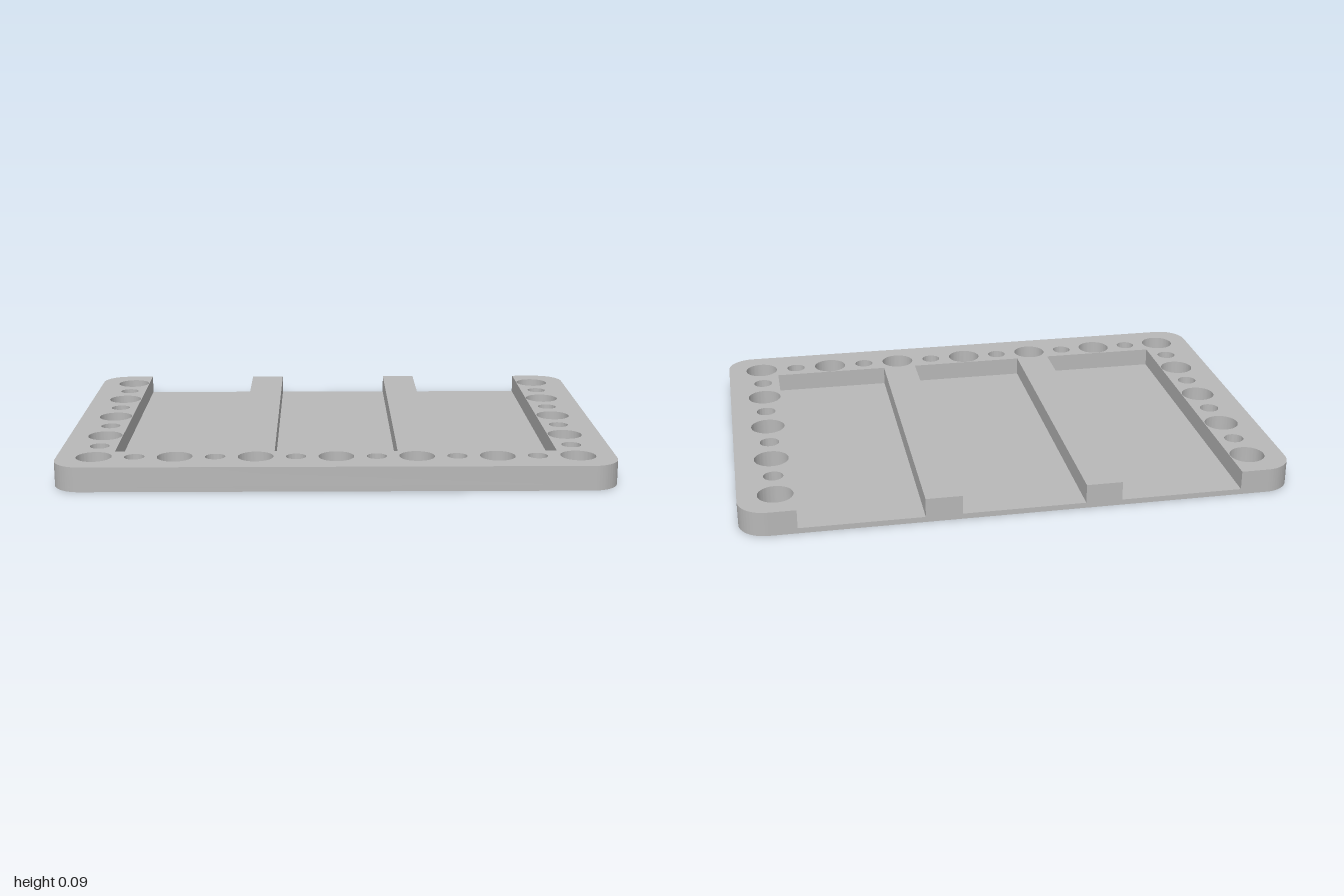
import * as THREE from 'three';
import { toCreasedNormals } from 'three/addons/utils/BufferGeometryUtils.js';

const W = 1, D = 0.71, R = 0.1;           // half width, half depth, corner radius
const FLOOR = 0.02, TOP = 0.09;           // floor thickness, full height
const PITCH = 0.2885;                     // spacing of the large holes
const POCKET_HALF = 0.2225, POCKET_FRONT = -0.51;

// Shape plane: x to the left side, y towards the back (-z)
function outline(withPockets) {
  const s = new THREE.Shape();
  s.moveTo(-W + R, -D);
  s.lineTo(W - R, -D);
  s.absarc(W - R, -D + R, R, -Math.PI / 2, 0);
  s.lineTo(W, D - R);
  s.absarc(W - R, D - R, R, 0, Math.PI / 2);
  if (withPockets) {
    // three bays open at the back
    for (const c of [2 * PITCH, 0, -2 * PITCH]) {
      s.lineTo(c + POCKET_HALF, D);
      s.lineTo(c + POCKET_HALF, POCKET_FRONT);
      s.lineTo(c - POCKET_HALF, POCKET_FRONT);
      s.lineTo(c - POCKET_HALF, D);
    }
  }
  s.lineTo(-W + R, D);
  s.absarc(-W + R, D - R, R, Math.PI / 2, Math.PI);
  s.lineTo(-W, -D + R);
  s.absarc(-W + R, -D + R, R, Math.PI, Math.PI * 1.5);

  // alternating large and small holes along the front and both sides
  const hole = (x, y, i) => {
    const p = new THREE.Path();
    p.absarc(x, y, i % 2 ? 0.036 : 0.0635, 0, Math.PI * 2, true);
    s.holes.push(p);
  };
  for (let i = 0; i <= 12; i++) hole((i / 2 - 3) * PITCH, -2 * PITCH, i);
  for (let i = 1; i <= 8; i++) {
    for (const side of [-1, 1]) hole(side * 3 * PITCH, (i / 2 - 2) * PITCH, i);
  }
  return s;
}

function slab(name, shape, y0, y1, material) {
  const extruded = new THREE.ExtrudeGeometry(shape, {
    depth: y1 - y0, bevelEnabled: false, curveSegments: 32,
  });
  extruded.rotateX(-Math.PI / 2);
  extruded.translate(0, y0, 0);
  const mesh = new THREE.Mesh(toCreasedNormals(extruded, 0.6), material);
  mesh.name = name;
  return mesh;
}

export function createModel() {
  const grey = new THREE.MeshStandardMaterial({ color: 0xb8b8b8 });
  grey.name = 'light grey';

  const group = new THREE.Group();
  group.name = 'perforatedTray';
  group.add(slab('floorPlate', outline(false), 0, FLOOR, grey));
  group.add(slab('rimAndDividers', outline(true), FLOOR, TOP, grey));
  return group;
}
